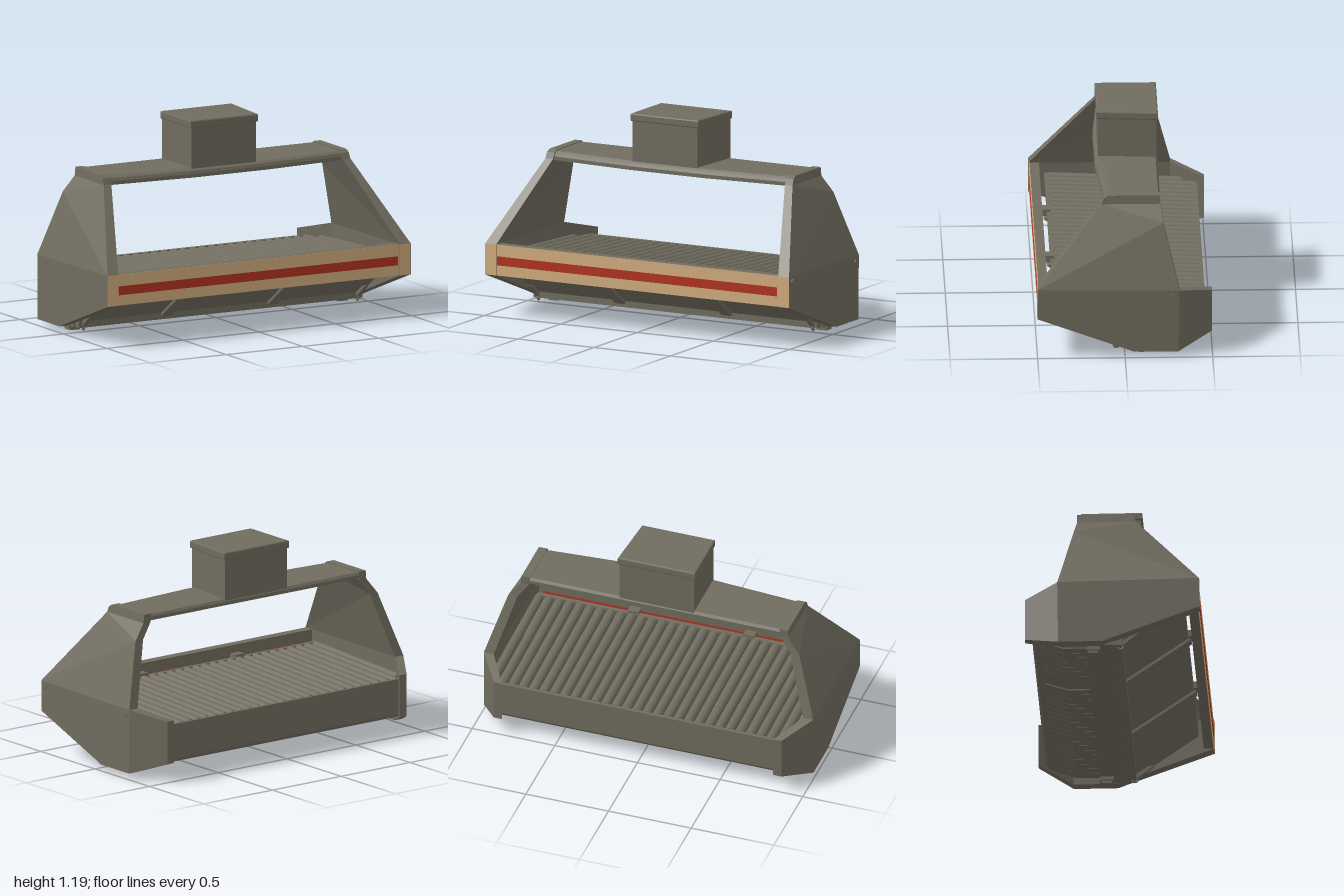
import * as THREE from 'three';

export function createModel() {
  const model = new THREE.Group();
  const mat = (name, color) => Object.assign(new THREE.MeshStandardMaterial({ color }), { name });
  const grey = mat('olive grey', 0x706c5f);
  const tan = mat('tan', 0xd2ae7e);
  const red = mat('red', 0xb23420);

  const add = (name, geometry, material = grey) => {
    const mesh = new THREE.Mesh(geometry, material);
    mesh.name = name;
    model.add(mesh);
    return mesh;
  };
  // Box given by its limits on each axis
  const box = (name, x0, x1, y0, y1, z0, z1, material) =>
    add(name, new THREE.BoxGeometry(x1 - x0, y1 - y0, z1 - z0), material)
      .position.set((x0 + x1) / 2, (y0 + y1) / 2, (z0 + z1) / 2);
  // A [z, y] section swept along x
  const sweepX = (section, x0, x1, steps = 1) =>
    new THREE.ExtrudeGeometry(new THREE.Shape(section.map(p => new THREE.Vector2(...p))),
      { depth: x1 - x0, steps, bevelEnabled: false }).rotateY(-Math.PI / 2).translate(x1, 0, 0);
  // A plate: outer polygon of [x, y, z, thickness], thickened inwards along x, mirrored by side
  const plate = (points, side) => {
    const pos = [];
    const outer = points.map(([x, y, z]) => [x * side, y, z]);
    const inner = points.map(([x, y, z, t]) => [(x - t) * side, y, z]);
    const tri = (a, b, c) => pos.push(...a, ...(side > 0 ? b : c), ...(side > 0 ? c : b));
    const n = points.length;
    for (let i = 1; i < n - 1; i++) {
      tri(outer[0], outer[i], outer[i + 1]);
      tri(inner[0], inner[i + 1], inner[i]);
    }
    for (let i = 0; i < n; i++) {
      const j = (i + 1) % n;
      tri(outer[i], inner[i], inner[j]);
      tri(outer[i], inner[j], outer[j]);
    }
    const g = new THREE.BufferGeometry();
    g.setAttribute('position', new THREE.Float32BufferAttribute(pos, 3));
    g.computeVertexNormals();
    return g;
  };

  // Side panels: flat base, leaning upper part, top cap and inward-bent rear wing
  const X = 0.996;
  const shoulderFront = [X, 0.42, 0.5, 0.071], shoulderBack = [X, 0.41, -0.31, 0.06];
  const bend = [0.88, 0.78, -0.22, 0.055];
  const topBack = [0.81, 0.87, -0.205, 0.05], topFront = [0.81, 0.87, 0.13, 0.05];
  const bottomBack = [X, 0.035, -0.305, 0.06];
  for (const side of [1, -1]) {
    const label = side > 0 ? 'left' : 'right';
    add(label + 'SideBase', plate([shoulderFront, [X, 0.24, 0.5, 0.071], [X, 0.055, 0, 0.06],
      [X, 0.035, -0.05, 0.06], bottomBack, shoulderBack], side));
    add(label + 'SideUpper', plate([bend, topBack, topFront, shoulderFront, shoulderBack], side));
    add(label + 'SideCap', plate([topFront, topBack, [0.805, 0.92, -0.205, 0.05],
      [0.805, 0.92, 0.09, 0.05], [0.808, 0.905, 0.115, 0.05]], side));
    add(label + 'RearWing', plate([shoulderBack, bottomBack, [0.87, 0.11, -0.5, 0.05],
      [0.87, 0.36, -0.5, 0.05]], side));

    // Painted front end of the side panel
    box(label + 'FrontEnd', side * 0.96 - 0.035, side * 0.96 + 0.035, 0.24, 0.42, 0.499, 0.501, tan);

    // Foot with a flange, and a strut ending in an eye
    box(label + 'FootFlange', side * 0.88 - 0.045, side * 0.88 + 0.045, 0.015, 0.04, -0.15, -0.07);
    box(label + 'Foot', side * 0.88 - 0.033, side * 0.88 + 0.033, 0, 0.02, -0.14, -0.08);
    add(label + 'Strut', sweepX([[0.16, 0.125], [0.06, 0.045], [0.035, 0.06], [0.1, 0.12]],
      side * 0.9 - 0.012, side * 0.9 + 0.012));
    add(label + 'Eye', new THREE.TorusGeometry(0.014, 0.006, 6, 14).rotateY(Math.PI / 2))
      .position.set(side * 0.9, 0.039, 0.049);
  }

  // Bolts on the left side
  for (const [y, z] of [[0.39, 0.463], [0.375, -0.272]]) {
    add('sideBolt', new THREE.CylinderGeometry(0.014, 0.014, 0.014, 8).rotateZ(Math.PI / 2))
      .position.set(0.996, y, z);
  }

  // Front board with painted face and stripes on both sides
  box('frontBoard', -0.925, 0.925, 0.24, 0.42, 0.44, 0.494);
  box('frontBoardPaint', -0.925, 0.925, 0.24, 0.42, 0.494, 0.496, tan);
  box('frontStripe', -0.92, 0.915, 0.3, 0.352, 0.496, 0.498, red);
  box('innerStripe', -0.9, 0.9, 0.3, 0.352, 0.439, 0.44, red);

  // Rear wall with a rolled lower edge
  add('rearWall', sweepX([[-0.46, 0.325], [-0.46, 0.12], [-0.445, 0.1], [-0.41, 0.088],
    [-0.41, 0.1], [-0.435, 0.115], [-0.44, 0.325]], -0.89, 0.89));

  // Sloping front pan, bottom strip and lip
  add('slopingPan', sweepX([[0.41, 0.32], [0.01, 0.04], [-0.01, 0.055], [0.385, 0.33]], -0.93, 0.93));
  box('bottomStrip', -0.94, 0.94, 0.036, 0.06, -0.15, 0.01);
  box('panLip', -0.93, 0.93, 0.037, 0.074, 0.0, 0.058);
  box('bedRail', -0.92, 0.92, 0.32, 0.36, 0.385, 0.41);
  for (const x of [-0.36, 0.34]) {
    add('panRib', sweepX([[0.43, 0.315], [0.06, 0.055], [0.03, 0.07], [0.4, 0.33]], x - 0.033, x + 0.033));
    box('boardTab', x - 0.033, x + 0.033, 0.335, 0.375, 0.39, 0.438);
  }

  // Bed of round slats rising to the front, with a lower return layer
  const count = 30, pitch = 0.0625, tilt = 0.045;
  for (let i = 0; i < count; i++) {
    const x = (i - (count - 1) / 2) * pitch;
    const outermost = i === 0 || i === count - 1;
    const back = outermost ? -0.38 : -0.44;
    const middle = (0.385 + back) / 2;
    const slat = add('bedSlat', new THREE.CylinderGeometry(0.028, 0.028, 0.385 - back, 10).rotateX(Math.PI / 2));
    slat.position.set(x, 0.321 + tilt * middle, middle);
    slat.rotation.x = -tilt;
    if (!outermost && Math.abs(x + 0.36) > 0.05) {
      add('returnSlat', sweepX([[-0.14, 0.046], [-0.28, 0.046], [-0.43, 0.096], [-0.43, 0.104],
        [-0.28, 0.054], [-0.14, 0.054]], x - 0.03, x + 0.03));
    }
  }
  for (const [x0, x1] of [[-0.86, -0.41], [-0.31, 0.86]]) {
    add('bedPlate', sweepX([[-0.44, 0.275], [0.37, 0.31], [0.37, 0.325], [-0.44, 0.29]], x0, x1));
  }

  // Roof sheet with a rolled front lip that bows forward in the middle
  const roof = sweepX([[-0.205, 0.9], [-0.195, 0.915], [0.07, 0.915], [0.092, 0.911], [0.107, 0.9],
    [0.114, 0.883], [0.114, 0.862], [0.1, 0.86], [0.094, 0.878], [0.085, 0.888], [0.065, 0.893],
    [-0.185, 0.893], [-0.19, 0.88], [-0.205, 0.88]], -0.78, 0.78, 26);
  const p = roof.attributes.position;
  for (let i = 0; i < p.count; i++) {
    const bow = 0.04 * Math.min(1, (0.78 - Math.abs(p.getX(i))) / 0.54);
    if (p.getZ(i) > 0) p.setZ(i, p.getZ(i) + bow);
  }
  roof.computeVertexNormals();
  add('roofBeam', roof);

  // Chimney box and its overhanging lid, slightly narrower at the front
  const block = (grow, y0, y1, bevel) => {
    const g = grow - bevel;
    const corners = [[-0.237 - g, -0.134 - g], [0.19 + g, -0.134 - g], [0.215 + g, 0.201 + g], [-0.237 - g, 0.201 + g]];
    return new THREE.ExtrudeGeometry(new THREE.Shape(corners.map(c => new THREE.Vector2(...c))),
      { depth: y1 - y0 - 2 * bevel, bevelThickness: bevel, bevelSize: bevel, bevelSegments: 2 })
      .rotateX(-Math.PI / 2).translate(0, y0 + bevel, 0);
  };
  add('chimneyBox', block(0, 0.89, 1.16, 0.008));
  add('chimneyLid', block(0.008, 1.143, 1.19, 0.008));

  return model;
}
